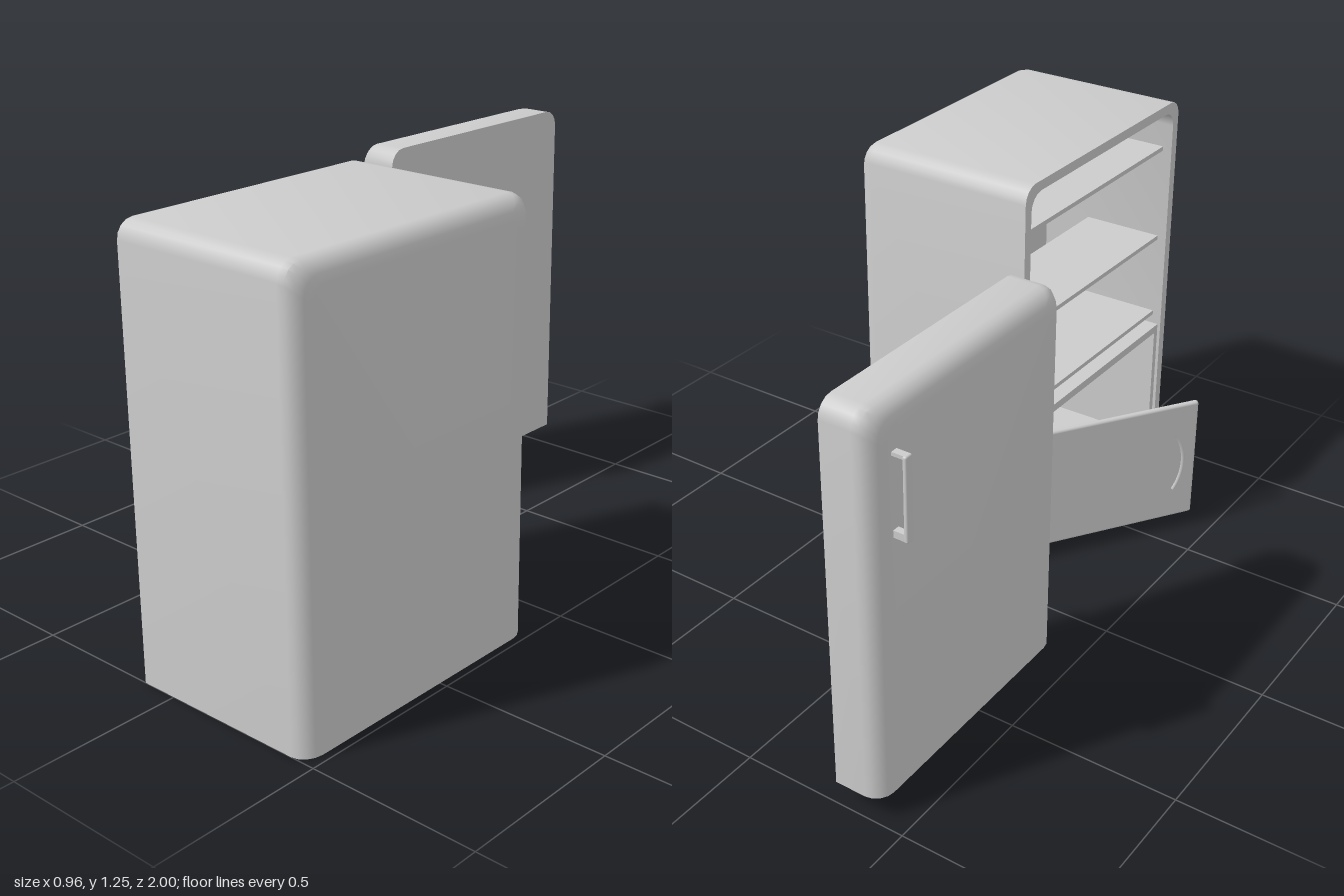
import * as THREE from 'three';
import { toCreasedNormals } from 'three/addons/utils/BufferGeometryUtils.js';
import { RoundedBoxGeometry } from 'three/addons/geometries/RoundedBoxGeometry.js';

const material = new THREE.MeshStandardMaterial({ color: 0xcccccc, side: THREE.DoubleSide });
const ARC = 4; // steps in each rounded corner

function add(parent, name, geometry, x = 0, y = 0, z = 0) {
  const mesh = new THREE.Mesh(geometry, material);
  mesh.name = name;
  mesh.position.set(x, y, z);
  parent.add(mesh);
  return mesh;
}

// Box between two corners
function slab(parent, name, [x0, x1], [y0, y1], [z0, z1]) {
  return add(parent, name, new THREE.BoxGeometry(x1 - x0, y1 - y0, z1 - z0),
    (x0 + x1) / 2, (y0 + y1) / 2, (z0 + z1) / 2);
}

// Outline in the z-y plane: square at the bottom, rounded at the top
function outline(z0, z1, y0, y1, r) {
  const points = [[z0, y0], [z1, y0]];
  for (const [cz, start] of [[z1 - r, 0], [z0 + r, Math.PI / 2]]) {
    for (let i = 0; i <= ARC; i++) {
      const a = start + (i / ARC) * Math.PI / 2;
      points.push([cz + r * Math.cos(a), y1 - r + r * Math.sin(a)]);
    }
  }
  return points;
}

// Skin through outlines set along x; each section is { x, inset, lift }
function loft([z0, z1, y0, y1, r], sections) {
  const positions = [], index = [];
  let n = 0;
  for (const { x, inset = 0, lift = 0 } of sections) {
    const ring = outline(z0 + inset, z1 - inset, y0 + lift, y1 - inset, r);
    n = ring.length;
    for (const [z, y] of ring) positions.push(x, y, z);
  }
  const last = (sections.length - 1) * n;
  for (let s = 0; s < last; s += n) {
    for (let j = 0; j < n; j++) {
      const k = (j + 1) % n;
      index.push(s + j, s + k, s + n + k, s + j, s + n + k, s + n + j);
    }
  }
  for (let j = 1; j < n - 1; j++) {
    index.push(0, j + 1, j, last, last + j, last + j + 1);
  }
  const geometry = new THREE.BufferGeometry();
  geometry.setAttribute('position', new THREE.Float32BufferAttribute(positions, 3));
  geometry.setIndex(index);
  return toCreasedNormals(geometry, 0.6);
}

// Quarter-round sections from the full outline to the inset face
function rounding(xFull, xFace, inset) {
  return Array.from({ length: ARC + 1 }, (_, i) => {
    const a = (i / ARC) * Math.PI / 2;
    return { x: xFull + (xFace - xFull) * Math.sin(a), inset: inset * (1 - Math.cos(a)) };
  });
}

export function createModel() {
  const model = new THREE.Group();
  model.name = 'refrigerator';

  // Cabinet: rounded back, open front and hollow inside
  const wall = 0.03;
  add(model, 'cabinet', loft([0.13, 1, 0, 1.25, 0.05], [
    ...rounding(0.425, 0.477, 0.06).reverse(),
    { x: -0.11 },
    { x: -0.11, inset: wall, lift: wall },
    { x: 0.34, inset: wall, lift: wall },
  ]));

  // Shelves
  for (const y of [0.52, 0.79, 1.095]) {
    slab(model, 'shelf', [-0.08, 0.18], [y - 0.014, y], [0.16, 0.97]);
  }

  // Lower compartment
  const box = new THREE.Group();
  box.name = 'lowerCompartment';
  model.add(box);
  slab(box, 'compartmentTop', [-0.1, 0.32], [0.45, 0.475], [0.16, 0.97]);
  slab(box, 'compartmentBack', [0.3, 0.32], [0.03, 0.45], [0.16, 0.97]);
  slab(box, 'compartmentFloor', [-0.1, 0.3], [0.03, 0.05], [0.18, 0.95]);
  for (const z of [0.16, 0.95]) {
    slab(box, 'compartmentSide', [-0.1, 0.3], [0.03, 0.45], [z, z + 0.02]);
  }

  // Compartment door, swung open on its hinge edge
  const innerDoor = new THREE.Group();
  innerDoor.name = 'compartmentDoor';
  innerDoor.position.set(-0.122, 0.25, 0.175);
  innerDoor.rotation.y = Math.atan2(-0.305, 0.46);
  model.add(innerDoor);
  add(innerDoor, 'compartmentDoorPanel', new RoundedBoxGeometry(0.02, 0.405, 0.555, 2, 0.009), 0, 0, 0.277);
  const radius = 0.182, sweep = 1.16;
  const grip = add(innerDoor, 'compartmentDoorGrip',
    new THREE.TorusGeometry(radius, 0.006, 6, 16, sweep), -0.01, 0, 0.51 - radius);
  grip.rotation.set(0, -Math.PI / 2, -sweep / 2);

  // Main door, standing apart from the cabinet
  const door = new THREE.Group();
  door.name = 'mainDoor';
  model.add(door);
  add(door, 'mainDoorPanel', loft([-1, -0.19, 0.07, 1.187, 0.05], [
    { x: -0.294 },
    ...rounding(-0.385, -0.437, 0.055),
  ]));

  // Door handle
  add(door, 'handleBar', new RoundedBoxGeometry(0.012, 0.235, 0.026, 3, 0.005), -0.474, 0.948, -0.912);
  for (const [y, h] of [[0.843, 0.02], [1.06, 0.01]]) {
    add(door, 'handleArm', new THREE.BoxGeometry(0.045, h, 0.02), -0.452, y, -0.912);
  }

  // Hinge barrels
  const barrel = toCreasedNormals(new THREE.LatheGeometry([
    [0, -0.077], [0.012, -0.077], [0.017, -0.07], [0.017, 0.07], [0.012, 0.077], [0, 0.077],
  ].map(([r, y]) => new THREE.Vector2(r, y)), 16), 0.6);
  for (const y of [0.205, 1.023]) add(door, 'hinge', barrel, -0.292, y, -0.189);

  return model;
}
